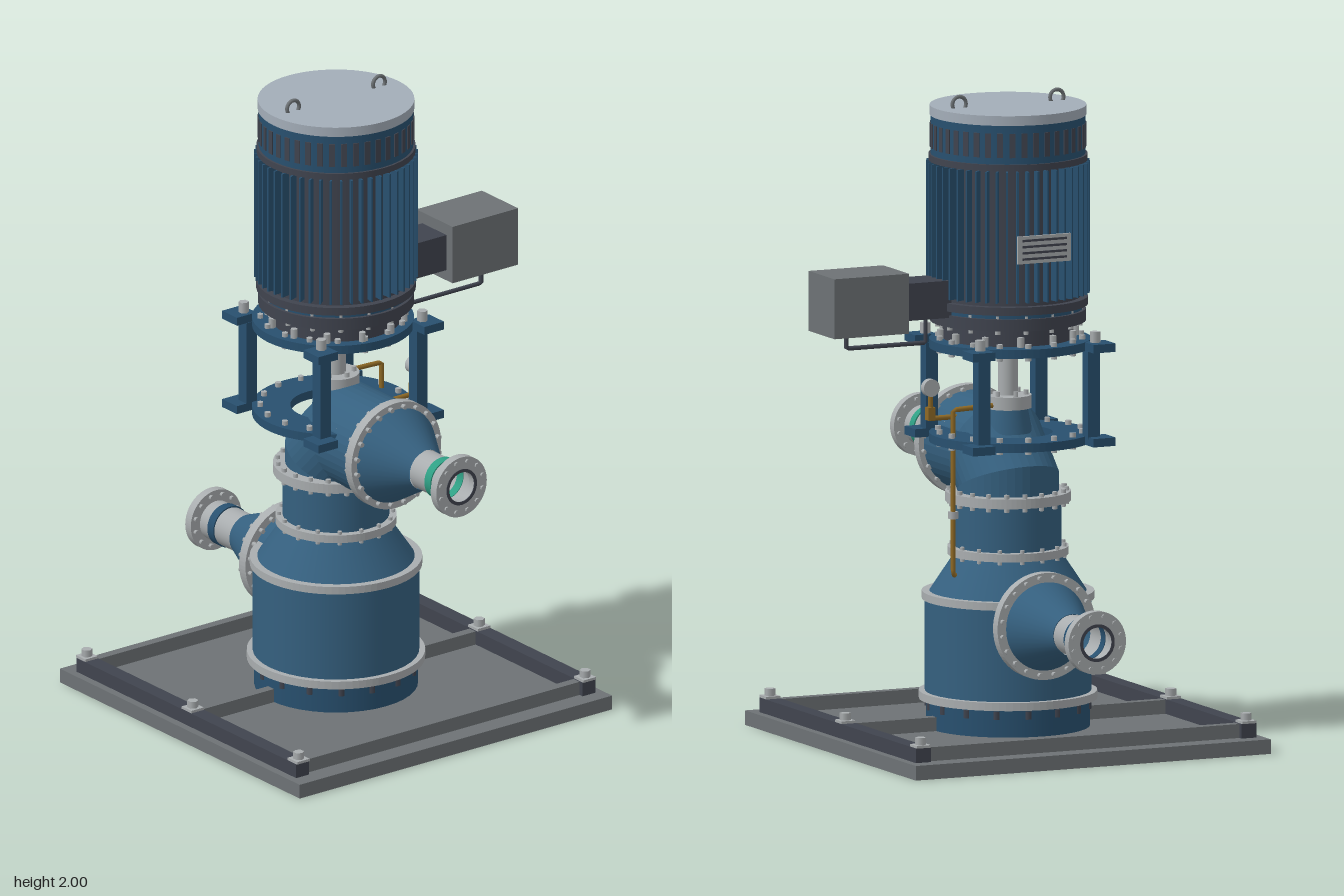
import * as THREE from 'three';
import { mergeGeometries } from 'three/addons/utils/BufferGeometryUtils.js';

const mat = (name, color, side = THREE.FrontSide) => {
  const m = new THREE.MeshStandardMaterial({ color, side });
  m.name = name;
  return m;
};

export function createModel() {
  const blue = mat('pump blue', 0x35607f, THREE.DoubleSide);
  const frameBlue = mat('frame blue', 0x28506f);
  const dark = mat('dark slate', 0x40444f);
  const grey = mat('base grey', 0x6d7275);
  const steel = mat('light steel', 0xa9adaf, THREE.DoubleSide);
  const capGrey = mat('motor cap grey', 0xa3adb8);
  const teal = mat('teal', 0x2f9f84);
  const brass = mat('brass', 0x8f6a26);

  const model = new THREE.Group();
  model.name = 'verticalPump';
  const root = new THREE.Group();
  root.name = 'pumpAssembly';
  root.position.x = -0.017;
  model.add(root);

  const add = (parent, name, geo, material, x = 0, y = 0, z = 0) => {
    const m = new THREE.Mesh(geo, material);
    m.name = name;
    m.position.set(x, y, z);
    parent.add(m);
    return m;
  };
  const box = (name, m, w, h, d, x, y, z, parent = root) =>
    add(parent, name, new THREE.BoxGeometry(w, h, d), m, x, y, z);
  // Upright cylinder or cone between two heights
  const cyl = (name, m, rBottom, rTop, y0, y1, parent = root, x = 0, z = 0, seg = 40, open = false) =>
    add(parent, name, new THREE.CylinderGeometry(rTop, rBottom, y1 - y0, seg, 1, open), m, x, (y0 + y1) / 2, z);
  // Upright flat ring with a hole
  const ring = (name, m, ro, ri, y0, y1, parent = root) => {
    const s = new THREE.Shape().absarc(0, 0, ro, 0, Math.PI * 2);
    s.holes.push(new THREE.Path().absarc(0, 0, ri, 0, Math.PI * 2, true));
    const g = new THREE.ExtrudeGeometry(s, { depth: y1 - y0, bevelEnabled: false, curveSegments: 40 });
    return add(parent, name, g.rotateX(-Math.PI / 2), m, 0, y0, 0);
  };
  // Copies of one geometry around the upright axis, merged
  const around = (name, m, n, make, parent = root) => {
    const list = [];
    for (let i = 0; i < n; i++) list.push(make().rotateY((i + 0.5) * Math.PI * 2 / n));
    return add(parent, name, mergeGeometries(list), m);
  };
  const bolts = (name, m, n, r, y0, y1, size = 0.009, parent = root) =>
    around(name, m, n, () => new THREE.CylinderGeometry(size, size, y1 - y0, 6).translate(r, (y0 + y1) / 2, 0), parent);
  const tube = (name, m, pts, r) => {
    const path = new THREE.CurvePath();
    const v = pts.map(p => new THREE.Vector3(...p));
    for (let i = 1; i < v.length; i++) path.add(new THREE.LineCurve3(v[i - 1], v[i]));
    return add(root, name, new THREE.TubeGeometry(path, 48, r, 8), m);
  };

  // Base plate, rails and anchor bolts
  box('basePlate', grey, 1.2, 0.045, 1.2, 0, 0.0225, 0);
  for (const s of [-1, 1]) {
    box('sideRail', dark, 0.05, 0.045, 1.1, s * 0.55, 0.0675, 0);
    for (const z of [-0.53, 0, 0.53]) {
      box('anchorPad', steel, 0.048, 0.008, 0.048, s * 0.55, 0.094, z);
      cyl('anchorNut', steel, 0.017, 0.017, 0.098, 0.12, root, s * 0.55, z, 6);
    }
  }
  for (const z of [-0.52, 0, 0.52]) box('crossRail', grey, 1.05, 0.043, 0.03, 0, 0.0665, z);

  // Lower casing with its joint rings
  cyl('footFlange', frameBlue, 0.25, 0.25, 0.045, 0.13);
  bolts('footBolts', dark, 16, 0.245, 0.1, 0.125, 0.012);
  ring('footRing', steel, 0.272, 0.2, 0.13, 0.155);
  cyl('lowerCasing', blue, 0.254, 0.254, 0.155, 0.44);
  ring('shoulderRing', steel, 0.263, 0.15, 0.438, 0.462);
  cyl('casingCone', blue, 0.24, 0.165, 0.462, 0.575);
  ring('neckRing', steel, 0.185, 0.12, 0.575, 0.6);
  bolts('neckBolts', steel, 16, 0.174, 0.565, 0.61, 0.007);
  cyl('neck', blue, 0.163, 0.163, 0.6, 0.742, root, 0, 0, 40, true);
  ring('elbowRing', steel, 0.192, 0.14, 0.74, 0.77);
  bolts('elbowBolts', steel, 20, 0.179, 0.728, 0.782, 0.008);

  // Mitred discharge elbow: [y, z, tilt of the joint]
  const joints = [[0.76, 0, 0], [0.8, 0, Math.PI / 8], [0.885, 0.085, Math.PI * 3 / 8], [0.885, 0.28, Math.PI / 2]];
  const N = 40, R = 0.155, pos = [], idx = [];
  joints.forEach(([y, z, t], j) => {
    const stretch = j % 3 === 0 ? 1 : 1 / Math.cos(Math.PI / 8);
    for (let i = 0; i < N; i++) {
      const a = i / N * Math.PI * 2, v = R * stretch * Math.sin(a);
      pos.push(R * Math.cos(a), y - v * Math.sin(t), z + v * Math.cos(t));
      if (j < 3) {
        const p = j * N + i, q = j * N + (i + 1) % N;
        idx.push(p, p + N, q, q, p + N, q + N);
      }
    }
  });
  let elbow = new THREE.BufferGeometry();
  elbow.setAttribute('position', new THREE.Float32BufferAttribute(pos, 3));
  elbow.setIndex(idx);
  elbow = elbow.toNonIndexed();
  elbow.computeVertexNormals();
  add(root, 'dischargeElbow', elbow, blue);

  // Nozzles: built along the upright axis, then laid along +z or -z
  const nozzle = (name, y, dir, start, rFlange, rCone, band) => {
    const g = new THREE.Group();
    g.name = name;
    g.position.y = y;
    g.rotation.x = dir * Math.PI / 2;
    root.add(g);
    ring('largeFlange', steel, rFlange, rCone - 0.02, start, start + 0.032, g);
    bolts('largeFlangeBolts', steel, 20, rFlange - 0.014, start - 0.014, start + 0.046, 0.008, g);
    cyl('reducer', blue, rCone, 0.064, start + 0.03, 0.45, g, 0, 0, 40, true);
    cyl('nozzlePipe', steel, 0.062, 0.062, 0.45, 0.605, g, 0, 0, 40, true);
    ring('colourBand', band, 0.066, 0.06, 0.528, 0.558, g);
    ring('endFlange', steel, 0.097, 0.05, 0.6, 0.628, g);
    bolts('endFlangeBolts', steel, 12, 0.082, 0.59, 0.634, 0.008, g);
    ring('endSeal', dark, 0.058, 0.048, 0.627, 0.63, g);
    return g;
  };
  nozzle('dischargeNozzle', 0.885, 1, 0.27, 0.172, 0.152, teal);
  const suction = nozzle('suctionNozzle', 0.387, -1, 0.238, 0.165, 0.137, frameBlue);
  cyl('suctionStub', blue, 0.14, 0.14, 0.1, 0.24, suction);

  // Shaft, seal housing and coupling
  cyl('shaft', steel, 0.03, 0.03, 0.65, 1.27);
  cyl('sealHousing', blue, 0.075, 0.06, 0.95, 1.025);
  cyl('sealGland', steel, 0.072, 0.072, 1.025, 1.065);
  bolts('glandBolts', steel, 6, 0.055, 1.06, 1.08, 0.008);
  cyl('motorHub', steel, 0.06, 0.06, 1.2, 1.218);

  // Motor support frame
  const frame = new THREE.Group();
  frame.name = 'motorFrame';
  frame.position.z = -0.015;
  root.add(frame);
  ring('lowerFramePlate', frameBlue, 0.247, 0.13, 0.925, 0.952, frame);
  bolts('lowerPlateBolts', steel, 16, 0.222, 0.915, 0.966, 0.01, frame);
  ring('upperFramePlate', frameBlue, 0.247, 0.05, 1.215, 1.242, frame);
  bolts('upperPlateBolts', steel, 16, 0.222, 1.203, 1.255, 0.01, frame);
  for (const x of [-0.185, 0.185]) for (const z of [-0.185, 0.185]) {
    box('framePost', frameBlue, 0.04, 0.27, 0.04, x, 1.08, z, frame);
    for (const y of [0.9385, 1.2285]) box('frameTab', frameBlue, 0.075, 0.026, 0.075, x * 1.1, y, z * 1.1, frame);
    cyl('postNut', steel, 0.016, 0.016, 1.24, 1.275, frame, x * 1.05, z * 1.05, 6);
  }

  // Motor
  cyl('motorFoot', dark, 0.2, 0.2, 1.242, 1.3);
  bolts('motorFootBolts', steel, 12, 0.21, 1.242, 1.272, 0.011);
  cyl('motorFlange', dark, 0.238, 0.238, 1.295, 1.332);
  bolts('motorFlangeBolts', steel, 16, 0.222, 1.283, 1.34, 0.008);
  cyl('motorFlangeNeck', frameBlue, 0.228, 0.228, 1.332, 1.345);
  cyl('motorCollar', dark, 0.244, 0.244, 1.345, 1.37);
  cyl('motorCore', dark, 0.222, 0.222, 1.37, 1.8);
  around('coolingFins', frameBlue, 48, () => new THREE.BoxGeometry(0.04, 0.405, 0.006).translate(0.23, 1.585, 0));
  cyl('upperCollar', dark, 0.243, 0.243, 1.79, 1.81);
  cyl('ventBand', frameBlue, 0.236, 0.236, 1.81, 1.93);
  around('ventSlots', dark, 40, () => new THREE.BoxGeometry(0.006, 0.075, 0.018).translate(0.2355, 1.868, 0));
  cyl('motorCap', capGrey, 0.239, 0.239, 1.93, 1.96, root, 0, 0, 56);
  for (const x of [-0.165, 0.165])
    add(root, 'liftingEye', new THREE.TorusGeometry(0.023, 0.006, 8, 24), grey, x, 1.971, 0);

  // Rating plate on the back
  box('ratingPlate', steel, 0.18, 0.085, 0.008, 0, 1.55, -0.253);
  for (let i = 0; i < 4; i++) box('ratingLine', dark, 0.15, 0.007, 0.004, 0, 1.522 + i * 0.019, -0.2575);

  // Terminal box and conduit
  box('terminalNeck', dark, 0.16, 0.115, 0.122, 0.3, 1.382, 0);
  box('terminalBox', grey, 0.252, 0.185, 0.182, 0.504, 1.383, 0);
  tube('conduit', dark, [[0.53, 1.3, 0.035], [0.53, 1.237, 0.035], [0.262, 1.237, 0.035], [0.262, 1.33, 0.035]], 0.007);

  // Brass seal line with its union, valve and gauge
  tube('sealLine', brass, [[0.19, 0.52, -0.035], [0.202, 0.53, -0.035], [0.202, 1.035, -0.035], [0.07, 1.04, -0.035]], 0.008);
  cyl('lineUnion', steel, 0.016, 0.016, 0.7, 0.722, root, 0.202, -0.035, 6);
  tube('gaugeLine', brass, [[0.09, 0.985, 0.13], [0.2, 0.985, 0.13], [0.2, 1.06, 0.13]], 0.008);
  box('gaugeValve', brass, 0.024, 0.04, 0.024, 0.2, 1.0, 0.13);
  const gauge = cyl('gauge', steel, 0.027, 0.027, 1.05, 1.072, root, 0.2, 0.13, 24);
  gauge.position.y = 1.08;
  gauge.rotation.x = Math.PI / 2;

  return model;
}
